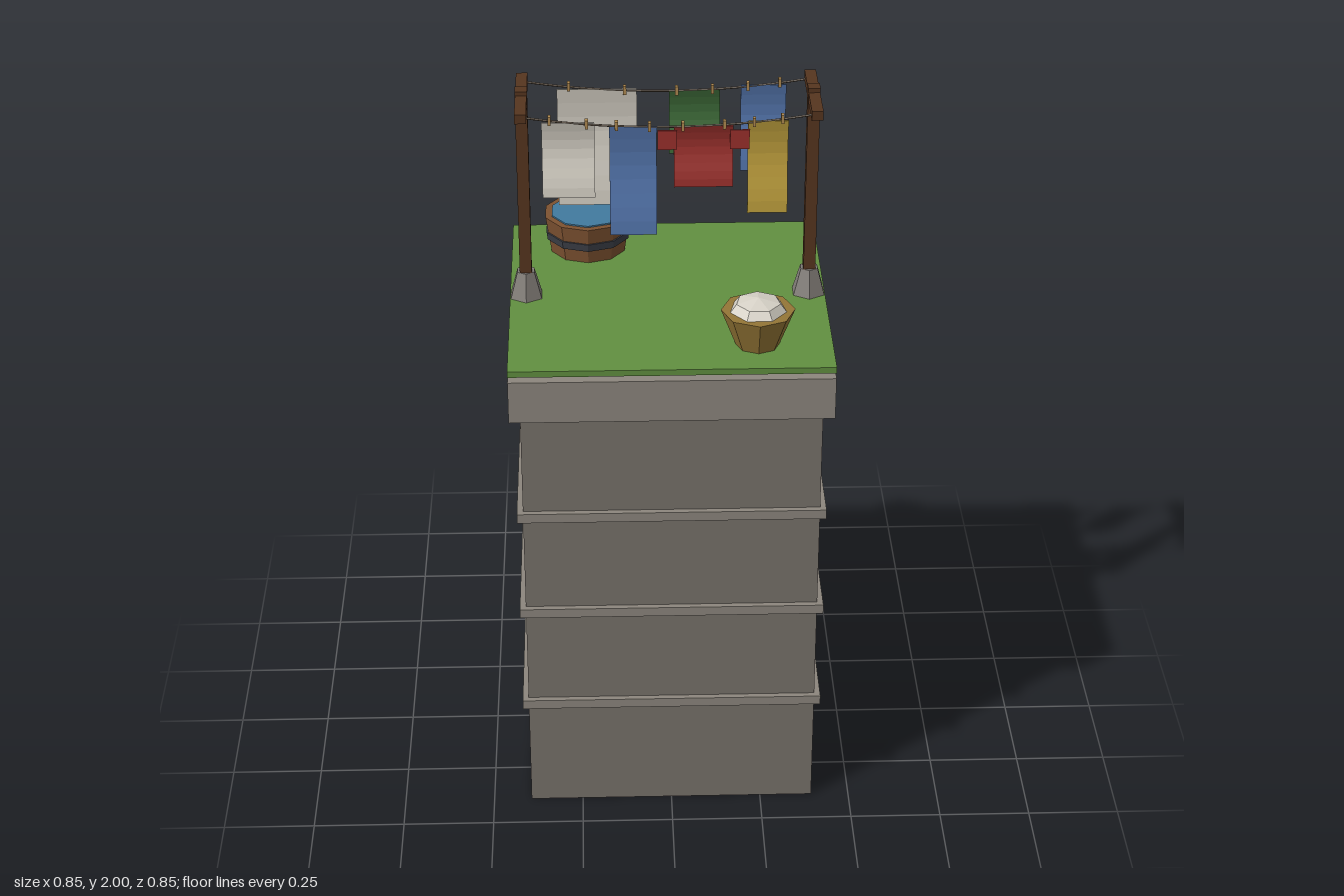
import * as THREE from 'three';

const COLORS = {
  stone: 0x77716a, trim: 0x8c867d, grass: 0x618f40, post: 0x56351f, rock: 0x827d78,
  tub: 0x7d5231, hoop: 0x3b3e46, water: 0x417a9e, basket: 0x947636, pin: 0xb08a50,
  rope: 0x6a5a48, white: 0xd6d1c6, blue: 0x5476ae, red: 0x9a302c, green: 0x3d6a38, yellow: 0xbd9e3c,
};
const materials = {};
for (const key in COLORS) {
  materials[key] = new THREE.MeshStandardMaterial({ color: COLORS[key], flatShading: true });
}

const GROUND = 1.4;
const POST_X = 0.38;
const LINE_Z = 0.115;
const lineY = (x) => 1.941 + 0.031 * (x / POST_X) ** 2;

function add(parent, name, geometry, material, x = 0, y = 0, z = 0) {
  const mesh = new THREE.Mesh(geometry, materials[material]);
  mesh.name = name;
  mesh.position.set(x, y, z);
  parent.add(mesh);
  return mesh;
}

const box = (w, h, d) => new THREE.BoxGeometry(w, h, d);

// Square block given by its half width and its bottom and top heights
function slab(parent, name, half, y0, y1, material) {
  return add(parent, name, box(half * 2, y1 - y0, half * 2), material, 0, (y0 + y1) / 2, 0);
}

// Thin hanging sheet with a gentle S-wave from top to bottom
function clothGeometry(w, h) {
  const geo = new THREE.BoxGeometry(w, h, 0.005, 1, 8, 1);
  const pos = geo.attributes.position;
  for (let i = 0; i < pos.count; i++) {
    const t = 0.5 - pos.getY(i) / h;
    pos.setZ(i, pos.getZ(i) - 0.011 * Math.sin(1.5 * Math.PI * t));
  }
  geo.computeVertexNormals();
  return geo;
}

// One laundry item with its two pegs
function laundry(parent, name, x0, x1, bottom, z, material) {
  const item = new THREE.Group();
  item.name = name;
  parent.add(item);
  const x = (x0 + x1) / 2, w = x1 - x0, top = lineY(x);
  add(item, 'cloth', clothGeometry(w, top - bottom), material, x, (top + bottom) / 2, z);
  for (const side of [-1, 1]) {
    const px = x + side * w * 0.35;
    add(item, 'peg', box(0.008, 0.024, 0.014), 'pin', px, lineY(px) + 0.001, z);
  }
  return item;
}

export function createModel() {
  const model = new THREE.Group();
  model.name = 'rooftopLaundry';

  // Tower with ledges, cap and lawn
  slab(model, 'towerBody', 0.395, 0, 1.25, 'stone');
  for (const y of [0.325, 0.628, 0.932]) slab(model, 'ledge', 0.411, y, y + 0.027, 'trim');
  slab(model, 'towerCap', 0.424, 1.248, 1.367, 'trim');
  slab(model, 'lawn', 0.424, 1.383, GROUND, 'grass');

  // Posts with stone feet and crossbars
  for (const side of [-1, 1]) {
    const post = new THREE.Group();
    post.name = side > 0 ? 'leftPost' : 'rightPost';
    post.position.x = side * POST_X;
    model.add(post);
    add(post, 'pole', box(0.032, 2 - GROUND, 0.034), 'post', 0, (2 + GROUND) / 2, 0);
    add(post, 'crossbar', box(0.03, 0.026, 0.27), 'post', 0, 1.975, 0);
    add(post, 'stoneFoot', new THREE.CylinderGeometry(0.026, 0.048, 0.075, 6), 'rock', 0, GROUND + 0.0375, 0);
  }

  // Sagging ropes
  for (const z of [-LINE_Z, LINE_Z]) {
    const points = [];
    for (let i = 0; i <= 12; i++) {
      const x = POST_X * (i / 6 - 1);
      points.push(new THREE.Vector3(x, lineY(x), z));
    }
    const curve = new THREE.CatmullRomCurve3(points);
    add(model, 'rope', new THREE.TubeGeometry(curve, 24, 0.003, 5), 'rope');
  }

  // Front row of washing
  laundry(model, 'frontTowel', -0.327, -0.191, 1.75, LINE_Z, 'white');
  laundry(model, 'frontBlueSheet', -0.153, -0.031, 1.64, LINE_Z, 'blue');
  const shirt = laundry(model, 'shirt', 0.013, 0.166, 1.776, LINE_Z, 'red');
  for (const side of [-1, 1]) {
    add(shirt, 'sleeve', box(0.05, 0.053, 0.005), 'red', 0.0895 + side * 0.0935, 1.904, LINE_Z);
  }
  laundry(model, 'yellowTowel', 0.204, 0.308, 1.7, LINE_Z, 'yellow');

  // Back row of washing
  laundry(model, 'backSheet', -0.289, -0.078, 1.617, -LINE_Z, 'white');
  laundry(model, 'greenCloth', 0.007, 0.142, 1.765, -LINE_Z, 'green');
  laundry(model, 'backBlueTowel', 0.197, 0.317, 1.713, -LINE_Z, 'blue');

  // Wash tub
  const tub = new THREE.Group();
  tub.name = 'washTub';
  tub.position.set(-0.213, GROUND, -0.29);
  model.add(tub);
  add(tub, 'staves', new THREE.CylinderGeometry(0.122, 0.106, 0.106, 10), 'tub', 0, 0.053, 0);
  add(tub, 'hoop', new THREE.CylinderGeometry(0.12, 0.117, 0.022, 10), 'hoop', 0, 0.05, 0);
  add(tub, 'water', new THREE.CylinderGeometry(0.103, 0.103, 0.01, 10), 'water', 0, 0.105, 0);

  // Laundry basket with a heap of linen
  const basket = new THREE.Group();
  basket.name = 'laundryBasket';
  basket.position.set(0.227, GROUND, 0.288);
  model.add(basket);
  add(basket, 'basketBody', new THREE.CylinderGeometry(0.097, 0.058, 0.1, 8), 'basket', 0, 0.05, 0);
  const linen = add(basket, 'linenHeap', new THREE.SphereGeometry(0.083, 7, 4), 'white', 0, 0.09, 0);
  linen.scale.y = 0.54;
  linen.rotation.y = -Math.PI / 2;

  return model;
}
